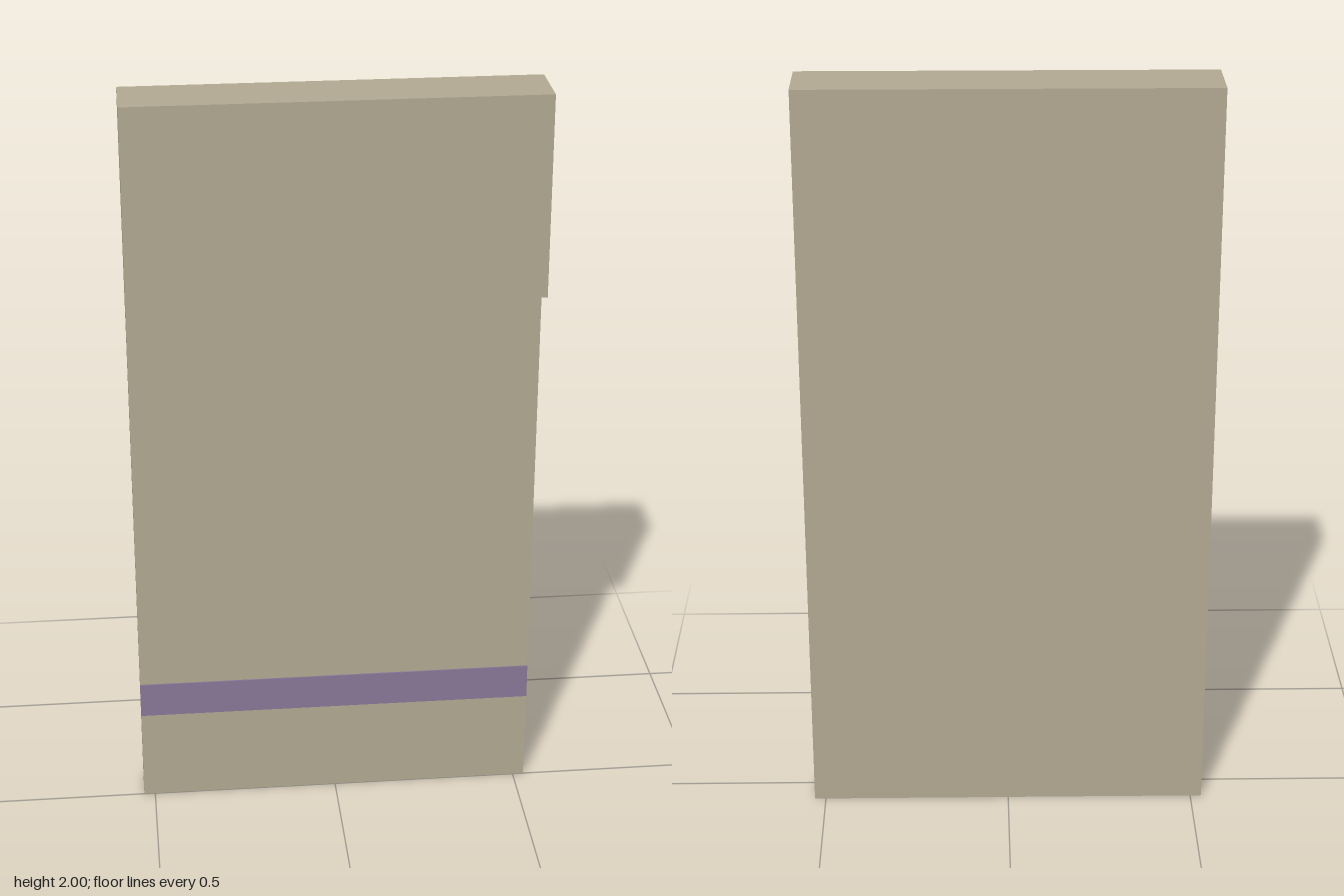
import * as THREE from 'three';

const WIDTH = 1.06;

export function createModel() {
  const model = new THREE.Group();
  model.name = 'panel';

  const beige = new THREE.MeshStandardMaterial({ color: 0xb4ab94 });
  const purple = new THREE.MeshStandardMaterial({ color: 0x8a789a });

  // Slab with a thicker head: side profile (z, y) extruded across the width
  const profile = new THREE.Shape(
    [[-0.083, 0], [0, 0], [0, 1.47], [0.083, 1.47], [0.083, 2], [-0.083, 2]]
      .map(([z, y]) => new THREE.Vector2(-z, y))
  );
  const slabGeometry = new THREE.ExtrudeGeometry(profile, { depth: WIDTH, bevelEnabled: false });
  slabGeometry.translate(0, 0, -WIDTH / 2);
  slabGeometry.rotateY(Math.PI / 2);
  const slab = new THREE.Mesh(slabGeometry, beige);
  slab.name = 'slab';
  model.add(slab);

  // Thin coloured strip just proud of the front face
  const stripe = new THREE.Mesh(new THREE.BoxGeometry(WIDTH, 0.096, 0.004), purple);
  stripe.name = 'stripe';
  stripe.position.set(0, 0.302, 0.002);
  model.add(stripe);

  return model;
}
